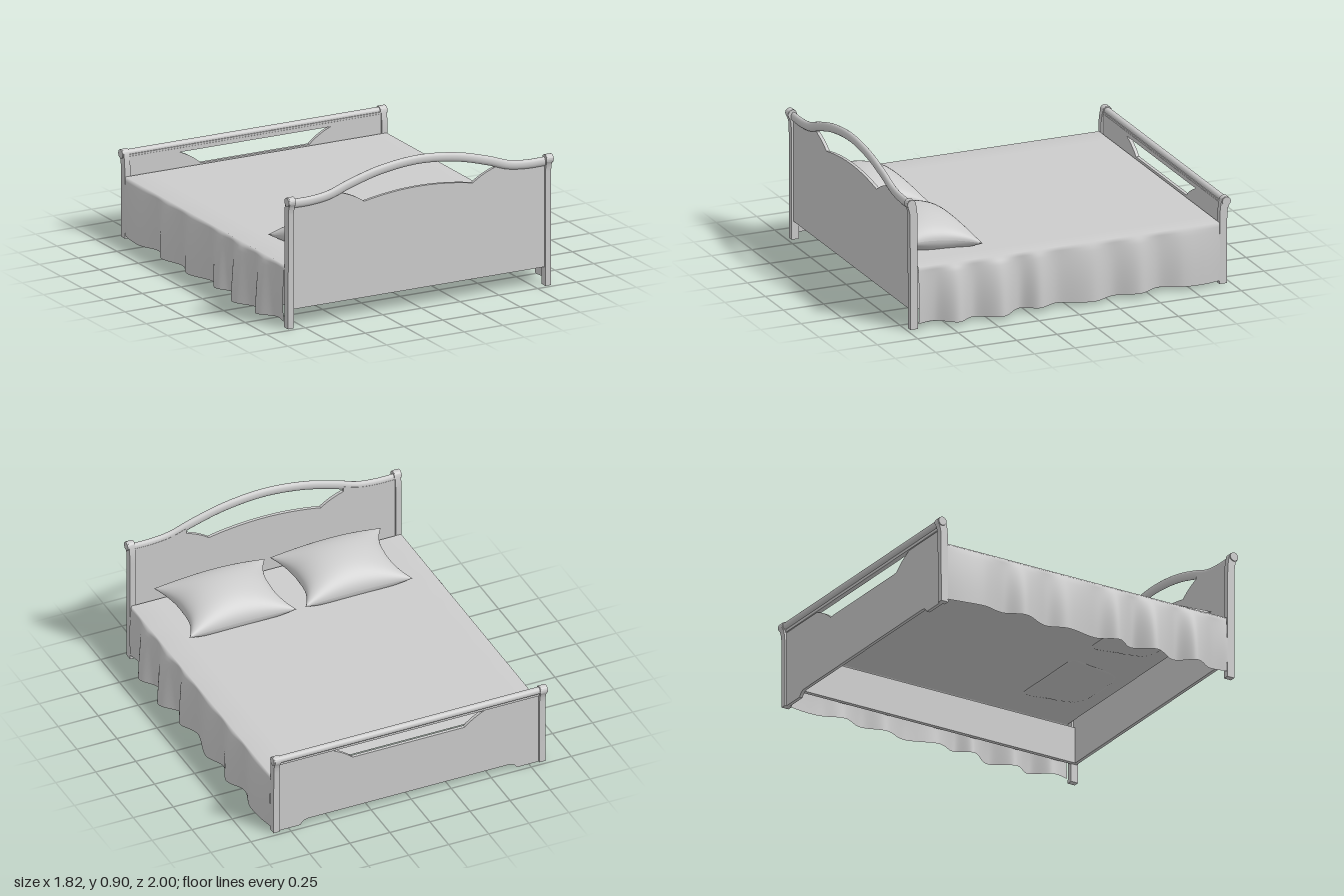
import * as THREE from 'three';
import { toCreasedNormals } from 'three/addons/utils/BufferGeometryUtils.js';

const grey = new THREE.MeshStandardMaterial({ color: 0xcccccc });
const cloth = new THREE.MeshStandardMaterial({ color: 0xcccccc, side: THREE.DoubleSide });

function add(parent, name, geometry, material = grey) {
  const mesh = new THREE.Mesh(geometry, material);
  mesh.name = name;
  parent.add(mesh);
  return mesh;
}

// Grid surface from a rule (u, v in 0..1) -> [x, y, z]
function surface(nu, nv, rule) {
  const pos = [], index = [];
  for (let j = 0; j <= nv; j++)
    for (let i = 0; i <= nu; i++) pos.push(...rule(i / nu, j / nv));
  for (let j = 0; j < nv; j++)
    for (let i = 0; i < nu; i++) {
      const a = j * (nu + 1) + i, b = a + 1, c = a + nu + 1, d = c + 1;
      index.push(a, c, b, b, c, d);
    }
  const g = new THREE.BufferGeometry();
  g.setAttribute('position', new THREE.Float32BufferAttribute(pos, 3));
  g.setIndex(index);
  g.computeVertexNormals();
  return g;
}

// Post with an outward scroll at the top; h is its full height
function addPosts(group, h) {
  const s = new THREE.Shape();
  s.moveTo(0.932, 0);
  s.lineTo(0.978, 0);
  s.lineTo(0.98, h - 0.11);
  s.quadraticCurveTo(0.982, h - 0.06, 0.998, h - 0.04);
  s.absarc(0.973, h - 0.027, 0.027, -0.3, Math.PI * 0.9, false);
  s.quadraticCurveTo(0.935, h - 0.06, 0.934, h - 0.13);
  s.closePath();
  const g = new THREE.ExtrudeGeometry(s, { depth: 0.036, bevelEnabled: false, curveSegments: 12 });
  g.translate(0, 0, -0.018);
  g.rotateY(-Math.PI / 2);
  const post = toCreasedNormals(g, 0.6);
  const cap = new THREE.CylinderGeometry(0.026, 0.026, 0.046, 20).rotateZ(Math.PI / 2);
  for (const side of [1, -1]) {
    add(group, 'post', post).position.x = side * 0.83;
    add(group, 'postScroll', cap).position.set(side * 0.832, h - 0.027, 0.973);
  }
}

function addPanel(group, shape) {
  const g = new THREE.ExtrudeGeometry(shape, { depth: 0.02, bevelEnabled: false, curveSegments: 20 });
  g.translate(0, 0, 0.947);
  add(group, 'panel', g);
}

function headboard() {
  const group = new THREE.Group();
  group.name = 'headboard';
  addPosts(group, 0.78);

  // Arched top rail
  const half = [[0.82, 0.738], [0.7, 0.738], [0.58, 0.753], [0.45, 0.797], [0.25, 0.85], [0, 0.875]];
  const points = [...half, ...half.slice(0, -1).reverse().map(([x, y]) => [-x, y])];
  const curve = new THREE.CatmullRomCurve3(points.map(([x, y]) => new THREE.Vector3(x, y, 0)));
  const rail = new THREE.TubeGeometry(curve, 80, 0.027, 16).scale(1, 1, 0.65).translate(0, 0, 0.966);
  add(group, 'topRail', rail);

  // Panel tucked into the rail, with a scooped opening below the arch
  const path = curve.getPoints(100);
  const s = new THREE.Shape();
  s.moveTo(-0.82, 0.11);
  s.lineTo(0.82, 0.11);
  path.filter(p => p.x >= 0.49).forEach(p => s.lineTo(p.x, p.y));
  s.lineTo(0.49, 0.75);
  s.quadraticCurveTo(0.41, 0.725, 0.35, 0.68);
  s.quadraticCurveTo(0, 0.75, -0.35, 0.68);
  s.quadraticCurveTo(-0.41, 0.725, -0.49, 0.75);
  path.filter(p => p.x <= -0.49).forEach(p => s.lineTo(p.x, p.y));
  s.closePath();
  addPanel(group, s);
  return group;
}

function footboard() {
  const group = new THREE.Group();
  group.name = 'footboard';
  addPosts(group, 0.52);
  const rail = new THREE.CylinderGeometry(0.021, 0.021, 1.64, 20).rotateZ(Math.PI / 2);
  add(group, 'topRail', rail).position.set(0, 0.493, 0.973);
  add(group, 'railMoulding', new THREE.BoxGeometry(1.64, 0.025, 0.03)).position.set(0, 0.467, 0.96);

  // Panel with feet at the corners and a slot under the rail
  const s = new THREE.Shape();
  s.moveTo(-0.82, 0);
  s.lineTo(-0.675, 0);
  s.quadraticCurveTo(-0.66, 0.032, -0.62, 0.032);
  s.lineTo(0.62, 0.032);
  s.quadraticCurveTo(0.66, 0.032, 0.675, 0);
  s.lineTo(0.82, 0);
  s.lineTo(0.82, 0.49);
  s.lineTo(-0.82, 0.49);
  s.closePath();
  const slot = new THREE.Path();
  slot.moveTo(-0.49, 0.455);
  slot.quadraticCurveTo(-0.41, 0.425, -0.35, 0.37);
  slot.lineTo(0.35, 0.37);
  slot.quadraticCurveTo(0.41, 0.425, 0.49, 0.455);
  slot.closePath();
  s.holes.push(slot);
  addPanel(group, s);
  group.rotation.y = Math.PI;
  return group;
}

// Blanket: flat top with wavy sides whose folds deepen towards the hem
function blanket() {
  const folds = [[-0.935, 0.845], [-0.82, 0.865], [-0.7, 0.87], [-0.56, 0.835], [-0.43, 0.887], [-0.28, 0.835],
    [-0.14, 0.88], [0.06, 0.835], [0.19, 0.886], [0.3, 0.83], [0.43, 0.908], [0.58, 0.835],
    [0.7, 0.902], [0.82, 0.835], [0.928, 0.85]];
  const line = new THREE.SplineCurve(folds.map(([z, x]) => new THREE.Vector2(z, x)));
  const drop = 14, top = 12, total = 2 * drop + top;
  return surface(total, 160, (u, v) => {
    const p = line.getPoint(v), i = Math.round(u * total);
    const side = i < total / 2 ? -1 : 1;
    const k = Math.min(i, total - i);
    if (k > drop) return [-0.842 + 1.684 * (i - drop) / top, 0.366, p.x];
    const t = 1 - k / drop;
    const hem = 0.024 + 0.006 * Math.sin(p.x * 9);
    const x = 0.842 + (p.y - 0.842) * Math.pow(t, 0.55) + 0.006 * Math.sin(t * Math.PI);
    return [side * x, 0.366 + (hem - 0.366) * t, p.x];
  });
}

// Pillow: two puffed halves meeting at a pinched, tilted seam
function pillowHalf(up) {
  return surface(36, 36, (a, b) => {
    const u = -Math.cos(a * Math.PI) * up, v = -Math.cos(b * Math.PI);
    const puff = Math.pow(Math.max(0, (1 - u * u) * (1 - v * v)), 0.5);
    const x = u * (0.272 + 0.068 * Math.pow(Math.abs(v), 2.5) + 0.006 * v);
    const z = 0.69 + v * (0.21 + 0.015 * u * u);
    const seam = 0.425 + 0.03 * v;
    const y = up > 0 ? seam + 0.128 * puff : Math.max(0.361, seam - 0.13 * puff);
    return [x, y, z];
  });
}

export function createModel() {
  const model = new THREE.Group();
  model.name = 'bed';
  model.add(headboard(), footboard());
  add(model, 'blanket', blanket(), cloth);

  for (const side of [1, -1]) {
    // Side rail hidden behind the blanket
    add(model, 'sideRail', new THREE.BoxGeometry(0.025, 0.22, 1.9)).position.set(side * 0.805, 0.22, 0);
    const pillow = new THREE.Group();
    pillow.name = 'pillow';
    add(pillow, 'pillowTop', pillowHalf(1), cloth);
    add(pillow, 'pillowBottom', pillowHalf(-1), cloth);
    pillow.position.x = side * 0.362;
    model.add(pillow);
  }
  return model;
}
